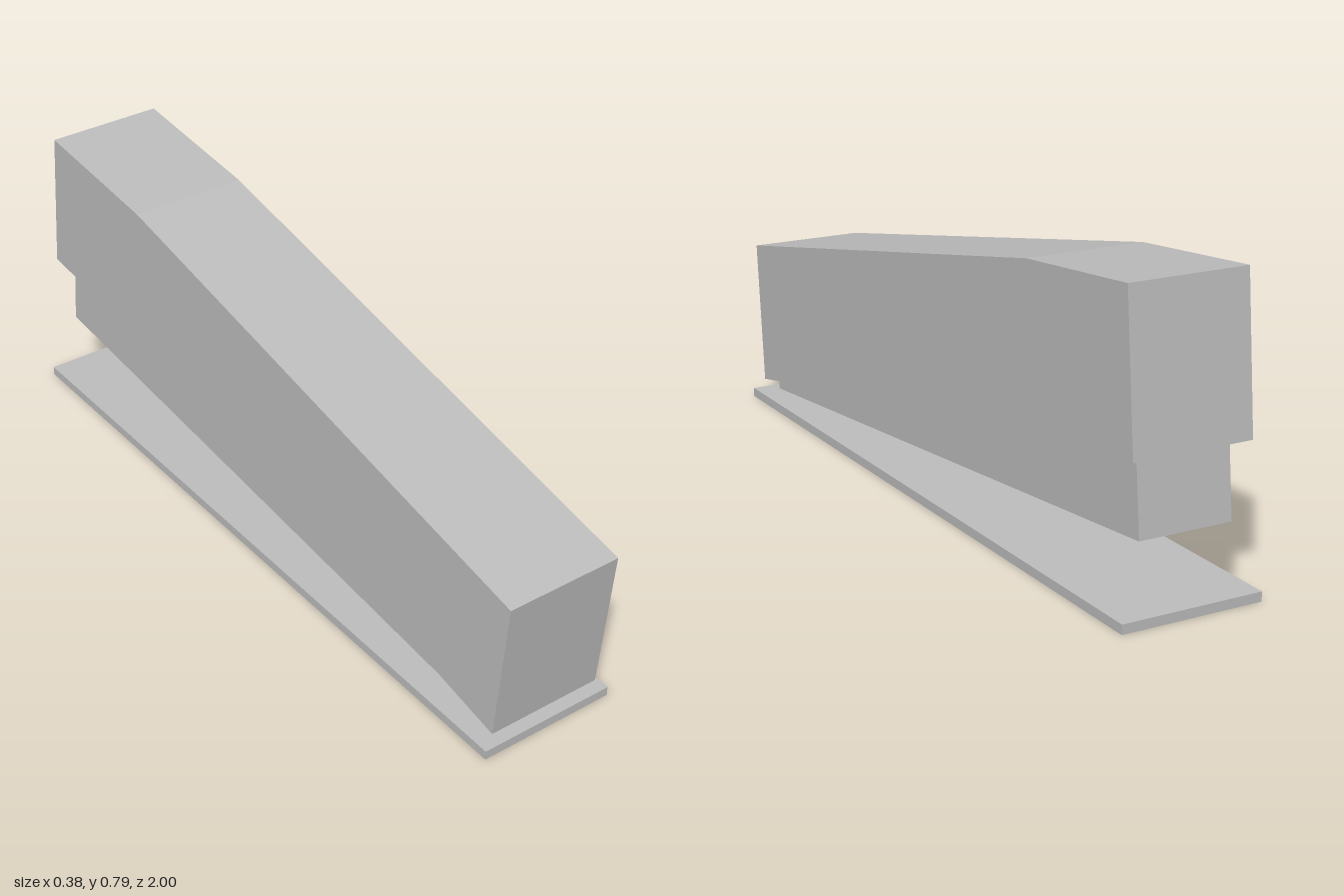
import * as THREE from 'three';

// Side profile given as [z, y] points, extruded across x and centred
function sideSlab(name, points, width, material) {
  const shape = new THREE.Shape(points.map(([z, y]) => new THREE.Vector2(-z, y)));
  const geometry = new THREE.ExtrudeGeometry(shape, { depth: width, bevelEnabled: false });
  geometry.translate(0, 0, -width / 2);
  geometry.rotateY(Math.PI / 2);
  const mesh = new THREE.Mesh(geometry, material);
  mesh.name = name;
  return mesh;
}

export function createModel() {
  const group = new THREE.Group();
  group.name = 'model';
  const grey = new THREE.MeshStandardMaterial({ color: 0xbebebe });
  grey.name = 'light grey';

  // Flat base plate
  const base = new THREE.Mesh(new THREE.BoxGeometry(0.38, 0.025, 1.98), grey);
  base.name = 'basePlate';
  base.position.set(0, 0.0125, -0.01);
  group.add(base);

  // Narrow wedge hinged at the front, its top meeting the underside of the arm
  group.add(sideSlab('lowerArm', [
    [0.94, 0.025], [0.943, 0.057], [-0.56, 0.352], [-0.945, 0.387], [-0.963, 0.195],
  ], 0.25, grey));

  // Wide tilted arm with a bend near the back
  group.add(sideSlab('upperArm', [
    [1.0, 0.45], [0.965, 0.053], [-0.56, 0.352], [-0.985, 0.39], [-0.95, 0.785], [-0.53, 0.747],
  ], 0.32, grey));

  return group;
}
